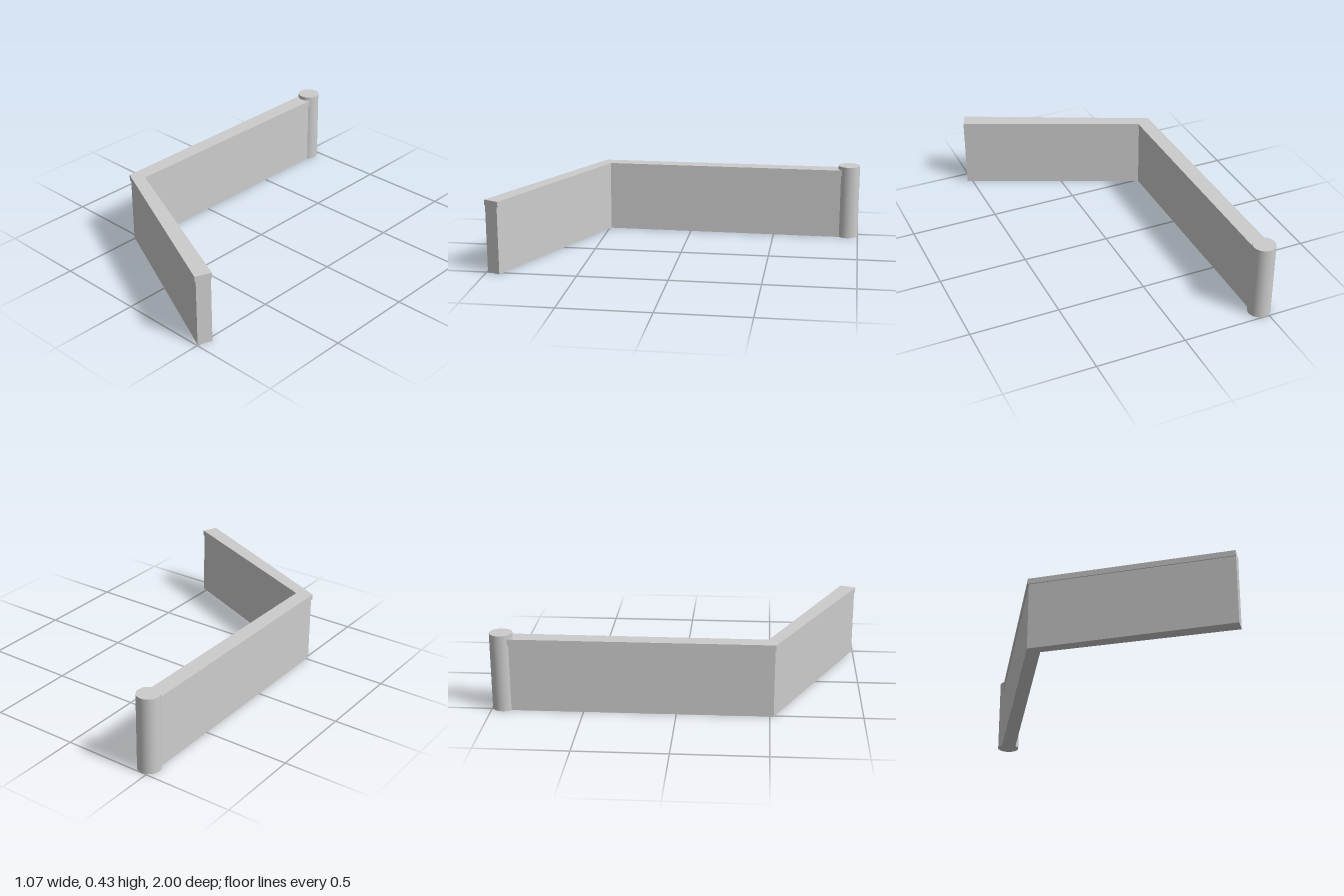
import * as THREE from 'three';

// Plan outline as [x, z] points, extruded upwards from y0 to y1
function slab(name, plan, y0, y1, material) {
  const shape = new THREE.Shape(plan.map(([x, z]) => new THREE.Vector2(x, -z)));
  const geometry = new THREE.ExtrudeGeometry(shape, { depth: y1 - y0, bevelEnabled: false });
  geometry.rotateX(-Math.PI / 2);
  geometry.translate(0, y0, 0);
  const mesh = new THREE.Mesh(geometry, material);
  mesh.name = name;
  return mesh;
}

// L-shaped strip: outer edge, then inner edge, narrowed by an inset on both sides
function planOutline(inset) {
  const nx = 0.405 * inset, nz = 0.914 * inset;
  return [
    [-0.52 + inset, -0.94],
    [-0.515 + inset, 0.525 - inset * 0.65],
    [0.494 + nx, 0.999 - nz],
    [0.531 - nx, 0.915 + nz],
    [-0.43 - inset, 0.485 + inset * 0.65],
    [-0.425 - inset, -0.94],
  ];
}

export function createModel() {
  const model = new THREE.Group();
  model.name = 'angledWall';
  const stone = new THREE.MeshStandardMaterial({ color: 0xcccccc });
  stone.name = 'light grey';

  // Bent wall and its slightly wider coping
  model.add(slab('wall', planOutline(0.006), 0, 0.377, stone));
  model.add(slab('coping', planOutline(0), 0.377, 0.408, stone));

  // Round post at the back end
  const post = new THREE.Mesh(new THREE.CylinderGeometry(0.0625, 0.0625, 0.43, 24), stone);
  post.name = 'endPost';
  post.position.set(-0.472, 0.215, -0.9375);
  model.add(post);

  return model;
}
